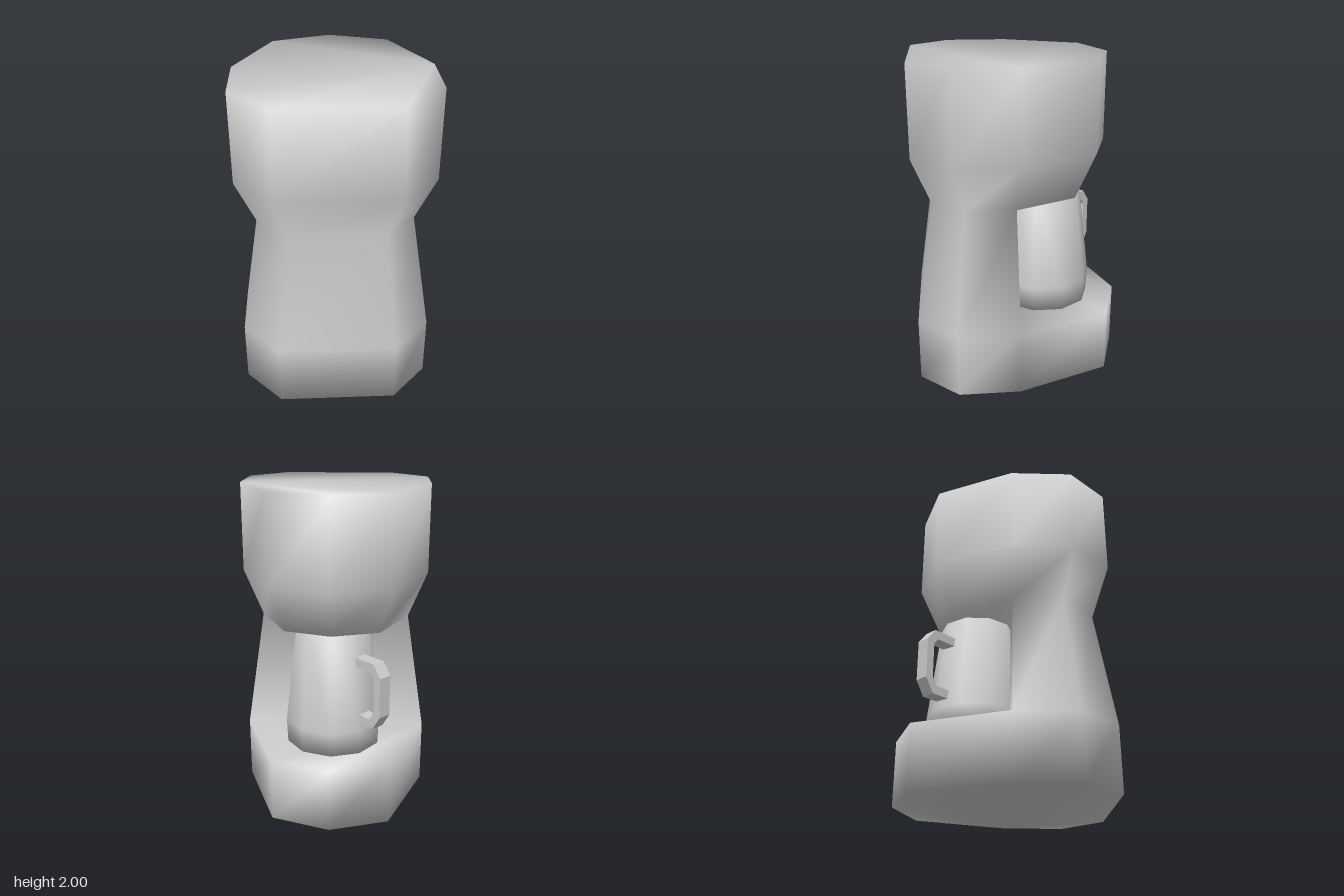
import * as THREE from 'three';

const grey = () => new THREE.MeshStandardMaterial({ color: 0xcccccc });

// Nine-sided plan: six points round the back, then three for the pointed front
function outline(corner, tip) {
  const half = [[0.585, 0.03], [0.585, 0.41], [0.36, 0.65]];
  const back = [...half, ...half.map(([x, z]) => [-x, z]).reverse()];
  return [...back, [-0.36, corner], [0, tip], [0.36, corner]];
}

// Smooth-shaded machine body: base, narrowing column and overhanging head
function bodyGeometry() {
  const base = outline(-0.54, -0.655);
  const head = outline(-0.435, -0.55);
  const waist = head.map(([x, z]) => [x * 0.8, z * 0.8 + 0.02]);
  const rings = [[0, base], [0.4, base], [1.16, waist], [1.45, head], [2, head]];
  const positions = [];
  rings.forEach(([y, pts]) => pts.forEach(([x, z]) => positions.push(x, y, z)));

  const index = [];
  const n = base.length;
  const wall = (ring, loop) => loop.forEach((p, k) => {
    const a = ring * n + p;
    const b = ring * n + loop[(k + 1) % loop.length];
    index.push(a, a + n, b, b, a + n, b + n);
  });
  const cap = (ring, loop, up) => {
    for (let k = 1; k < loop.length - 1; k++) {
      const [a, b, c] = [loop[0], loop[k], loop[k + 1]].map((p) => ring * n + p);
      index.push(a, up ? c : b, up ? b : c);
    }
  };
  const full = [0, 1, 2, 3, 4, 5, 6, 7, 8];
  const column = [0, 1, 2, 3, 4, 5];
  const front = [5, 6, 7, 8, 0];

  cap(0, full, false);
  wall(0, full);
  cap(1, front, true); // ledge under the jug
  wall(1, column);
  cap(2, front, false); // underside of the head
  wall(2, full);
  wall(3, full);
  cap(4, full, true);

  const geometry = new THREE.BufferGeometry();
  geometry.setAttribute('position', new THREE.Float32BufferAttribute(positions, 3));
  geometry.setIndex(index);
  geometry.computeVertexNormals();
  return geometry;
}

// Chamfered C-shaped handle, extruded across its width
function handleGeometry() {
  const width = 0.085;
  const shape = new THREE.Shape([
    [0.22, 1.015], [0.4, 1.015], [0.457, 0.94], [0.457, 0.69], [0.4, 0.6], [0.26, 0.6],
    [0.26, 0.655], [0.375, 0.655], [0.405, 0.705], [0.405, 0.92], [0.375, 0.96], [0.22, 0.96],
  ].map(([x, y]) => new THREE.Vector2(x, y)));
  const geometry = new THREE.ExtrudeGeometry(shape, { depth: width, bevelEnabled: false });
  return geometry.translate(0, 0, -width / 2);
}

export function createModel() {
  const model = new THREE.Group();
  model.name = 'coffeeMaker';
  const add = (parent, name, geometry) => {
    const mesh = new THREE.Mesh(geometry, grey());
    mesh.name = name;
    parent.add(mesh);
    return mesh;
  };

  add(model, 'body', bodyGeometry());

  // Jug standing on the ledge, its handle turned to one side
  const jug = new THREE.Group();
  jug.name = 'jug';
  jug.position.z = -0.17;
  model.add(jug);
  const profile = [[0, 0.4], [0.3, 0.4], [0.307, 0.55], [0.235, 1.15], [0, 1.15]];
  add(jug, 'jugBody', new THREE.LatheGeometry(profile.map(([r, y]) => new THREE.Vector2(r, y)), 10));
  add(jug, 'jugHandle', handleGeometry()).rotation.y = Math.PI * 0.75;

  return model;
}
